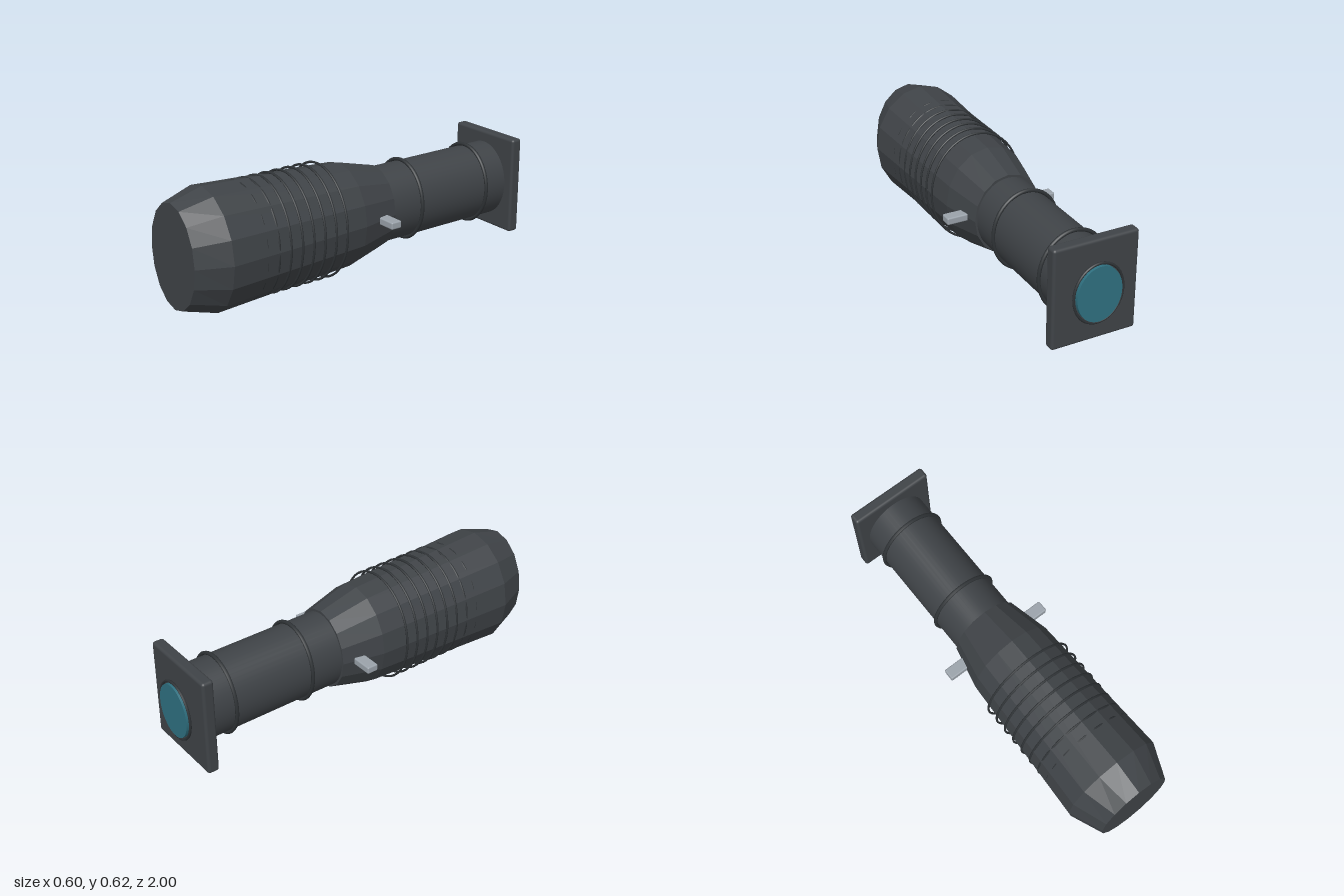
import * as THREE from 'three';
import { RoundedBoxGeometry } from 'three/addons/geometries/RoundedBoxGeometry.js';

const CY = 0.311; // height of the long axis

const mat = (name, color, extra = {}) => new THREE.MeshStandardMaterial({ name, color, ...extra });

// Faceted closed body lofted through elliptical sections [z, rx, ry], front to back
function loft(sections, sides) {
  const pos = [];
  const point = ([z, rx, ry], i) => {
    const a = (i / sides) * Math.PI * 2;
    return [rx * Math.cos(a), ry * Math.sin(a), z];
  };
  const first = sections[0], last = sections[sections.length - 1];
  for (let i = 0; i < sides; i++) {
    for (let s = 0; s < sections.length - 1; s++) {
      const a = point(sections[s], i), b = point(sections[s], i + 1);
      const c = point(sections[s + 1], i), d = point(sections[s + 1], i + 1);
      pos.push(...a, ...c, ...b, ...b, ...c, ...d);
    }
    pos.push(0, 0, first[0], ...point(first, i), ...point(first, i + 1));
    pos.push(0, 0, last[0], ...point(last, i + 1), ...point(last, i));
  }
  const g = new THREE.BufferGeometry();
  g.setAttribute('position', new THREE.Float32BufferAttribute(pos, 3));
  g.computeVertexNormals();
  return g;
}

// Elliptical cylinder along z
function ellipticTube(rx, ry, z0, z1) {
  return new THREE.CylinderGeometry(1, 1, z1 - z0, 48)
    .rotateX(Math.PI / 2).scale(rx, ry, 1).translate(0, 0, (z0 + z1) / 2);
}

// Elliptical ring around z; rx and ry are the outer radii
function ellipticRing(rx, ry, tube, z) {
  const g = new THREE.TorusGeometry(ry - tube, tube, 8, 48);
  return g.scale(rx / ry, 1, 1).translate(0, 0, z);
}

export function createModel() {
  const model = new THREE.Group();
  model.name = 'handle';
  const axis = new THREE.Group();
  axis.name = 'axis';
  axis.position.y = CY;
  model.add(axis);

  const charcoal = mat('charcoal', 0x3f4347);
  const darkRubber = mat('darkRubber', 0x2f3336);
  const steel = mat('steel', 0x9aa2aa);
  const teal = mat('teal', 0x2f7080);

  const add = (name, geometry, material) => {
    const m = new THREE.Mesh(geometry, material);
    m.name = name;
    axis.add(m);
    return m;
  };

  // Faceted grip, widest near the front
  add('grip', loft([
    [1.0, 0.194, 0.262],
    [0.835, 0.265, 0.309],
    [0.06, 0.228, 0.268],
    [-0.155, 0.18, 0.212],
  ], 16), charcoal);

  // Grip ribs, sinking into the body towards the front
  for (let i = 0; i < 8; i++) {
    add('gripRib', ellipticRing(0.252, 0.296, 0.006, 0.19 + i * 0.065), darkRubber);
  }

  // Smooth neck with two collars
  add('neck', ellipticTube(0.168, 0.197, -0.91, -0.15), charcoal);
  for (const z of [-0.333, -0.765]) {
    add('collar', ellipticRing(0.184, 0.216, 0.01, z), darkRubber);
  }

  // Square end plate
  add('endPlate', new RoundedBoxGeometry(0.436, 0.508, 0.06, 3, 0.014), charcoal)
    .position.z = -0.932;

  // Lens and its rim
  add('lens', ellipticTube(0.115, 0.14, -1.0, -0.98), teal);
  add('lensRim', ellipticRing(0.133, 0.157, 0.007, -0.987), darkRubber);

  // Side lugs
  for (const side of [-1, 1]) {
    add(side > 0 ? 'leftLug' : 'rightLug',
      new RoundedBoxGeometry(0.12, 0.037, 0.06, 2, 0.007), steel)
      .position.set(side * 0.238, 0, -0.067);
  }

  return model;
}
